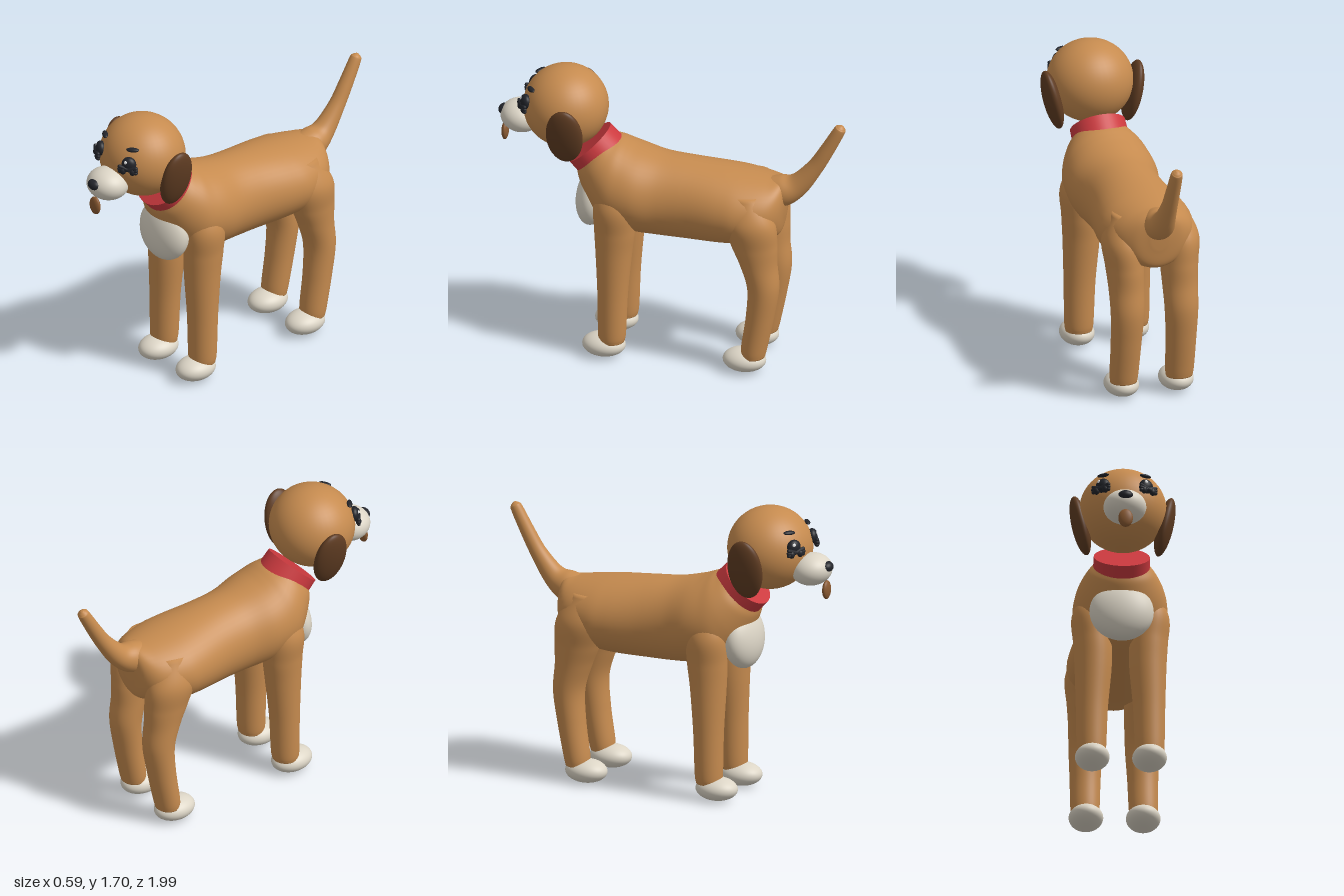
import * as THREE from 'three';

const mat = (name, color) => Object.assign(new THREE.MeshStandardMaterial({ color }), { name });

export function createModel() {
  const fur = mat('tan fur', 0xc68b4f);
  const earBrown = mat('dark brown ear', 0x5f3c22);
  const tongueBrown = mat('tongue brown', 0x8a5a32);
  const cream = mat('cream', 0xdcd5c6);
  const red = mat('collar red', 0xcc3a3f);
  const black = mat('soft black', 0x22242a);
  const white = mat('eye glint', 0xf4f4f4);
  const dog = new THREE.Group();
  dog.name = 'dog';

  function add(parent, name, geometry, material, pos = [0, 0, 0], rot = [0, 0, 0], scale = [1, 1, 1]) {
    const m = new THREE.Mesh(geometry, material);
    m.name = name;
    m.position.set(...pos);
    m.rotation.set(...rot);
    m.scale.set(...scale);
    parent.add(m);
    return m;
  }
  const ball = new THREE.SphereGeometry(1, 40, 28);
  const blob = (name, material, pos, radii, rot, parent = dog) => add(parent, name, ball, material, pos, rot, radii);

  // Smooth closed skin through elliptical rings [x, y, z, half width, vy, vz]
  function loft(rings, steps = 60, sides = 36) {
    const centres = new THREE.CatmullRomCurve3(rings.map(r => new THREE.Vector3(r[0], r[1], r[2])), false, 'catmullrom');
    const radii = new THREE.CatmullRomCurve3(rings.map(r => new THREE.Vector3(r[3], r[4], r[5])), false, 'catmullrom');
    const pos = [], idx = [];
    const ring = (c, r, k) => {
      for (let j = 0; j < sides; j++) {
        const a = j / sides * Math.PI * 2, co = Math.cos(a), si = Math.sin(a);
        pos.push(c.x + r.x * co * k, c.y + r.y * si * k, c.z + r.z * si * k);
      }
    };
    ring(centres.getPoint(0), radii.getPoint(0), 0.001);
    for (let i = 0; i <= steps; i++) ring(centres.getPoint(i / steps), radii.getPoint(i / steps), 1);
    ring(centres.getPoint(1), radii.getPoint(1), 0.001);
    for (let i = 0; i < steps + 2; i++) for (let j = 0; j < sides; j++) {
      const a = i * sides + j, b = i * sides + (j + 1) % sides;
      idx.push(a, b, a + sides, b, b + sides, a + sides);
    }
    // Turn the faces outward if the enclosed volume is negative
    let vol = 0;
    const p = k => new THREE.Vector3().fromArray(pos, k * 3);
    for (let i = 0; i < idx.length; i += 3) vol += p(idx[i]).dot(p(idx[i + 1]).cross(p(idx[i + 2])));
    if (vol < 0) idx.reverse();
    const g = new THREE.BufferGeometry();
    g.setAttribute('position', new THREE.Float32BufferAttribute(pos, 3));
    g.setIndex(idx);
    g.computeVertexNormals();
    return g;
  }

  // Body rings: top z, top y, bottom z, bottom y, half width
  const body = [
    [-0.665, 1.08, -0.65, 0.93, 0.05], [-0.64, 1.145, -0.625, 0.82, 0.15], [-0.56, 1.155, -0.56, 0.8, 0.225],
    [-0.42, 1.175, -0.42, 0.76, 0.268], [-0.3, 1.19, -0.3, 0.745, 0.265], [-0.1, 1.21, -0.1, 0.74, 0.238],
    [0.05, 1.225, 0.05, 0.742, 0.238], [0.18, 1.255, 0.2, 0.755, 0.264], [0.24, 1.275, 0.37, 0.79, 0.26],
    [0.28, 1.29, 0.46, 0.9, 0.235], [0.315, 1.3, 0.525, 1.04, 0.19], [0.355, 1.32, 0.54, 1.1, 0.148],
  ].map(([tz, ty, bz, by, w]) => [0, (ty + by) / 2, (tz + bz) / 2, w, (ty - by) / 2, (tz - bz) / 2]);
  add(dog, 'body', loft(body, 80, 48), fur);

  // Tail: z, y, radius, with the rings square to the path
  const tail = [[-0.56, 1.06, 0.09], [-0.65, 1.085, 0.088], [-0.73, 1.135, 0.064], [-0.82, 1.25, 0.047],
    [-0.885, 1.36, 0.041], [-0.955, 1.49, 0.034], [-0.966, 1.512, 0.026], [-0.972, 1.525, 0.008]];
  add(dog, 'tail', loft(tail.map(([z, y, r], i) => {
    const a = tail[Math.max(0, i - 1)], b = tail[Math.min(tail.length - 1, i + 1)];
    const dz = b[0] - a[0], dy = b[1] - a[1], l = Math.hypot(dz, dy);
    return [0, y, z, r, -dz / l * r, dy / l * r];
  })), fur);

  // Legs: y, x, x radius, z, z radius
  const frontLeg = [[1.12, 0.15, 0.05, 0.29, 0.06], [0.96, 0.17, 0.102, 0.295, 0.115], [0.8, 0.157, 0.108, 0.295, 0.115],
    [0.65, 0.153, 0.104, 0.3, 0.103], [0.4, 0.16, 0.09, 0.305, 0.086], [0.16, 0.163, 0.083, 0.308, 0.079], [0.1, 0.163, 0.076, 0.31, 0.073]];
  const rearLeg = [[1.1, 0.15, 0.06, -0.45, 0.08], [0.95, 0.168, 0.108, -0.475, 0.148], [0.8, 0.16, 0.106, -0.505, 0.132],
    [0.68, 0.157, 0.1, -0.53, 0.107], [0.53, 0.158, 0.095, -0.557, 0.09], [0.35, 0.161, 0.087, -0.54, 0.08],
    [0.16, 0.163, 0.082, -0.508, 0.074], [0.1, 0.163, 0.076, -0.5, 0.068]];
  for (const s of [1, -1]) {
    const side = s > 0 ? 'left' : 'right';
    for (const [label, rings, pawZ] of [['Front', frontLeg, 0.355], ['Rear', rearLeg, -0.45]]) {
      add(dog, side + label + 'Leg', loft(rings.map(([y, x, rx, z, rz]) => [s * x, y, z, rx, 0, rz])), fur);
      blob(side + label + 'Paw', cream, [s * 0.16, 0.07, pawZ], [0.097, 0.067, 0.123]);
    }
  }

  // Chest patch and collar
  blob('chestPatch', cream, [0, 0.925, 0.445], [0.18, 0.178, 0.1], [-0.12, 0, 0]);
  add(dog, 'collar', new THREE.CylinderGeometry(0.157, 0.16, 0.105, 48), red, [0, 1.212, 0.437], [0.76, 0, 0]);

  // Head
  const head = new THREE.Group();
  head.name = 'head';
  dog.add(head);
  blob('skull', fur, [0, 1.47, 0.61], [0.245, 0.235, 0.24], [0, 0, 0], head);
  blob('muzzle', cream, [0, 1.375, 0.865], [0.12, 0.092, 0.118], [-0.1, 0, 0], head);
  blob('nose', black, [0, 1.4, 0.962], [0.043, 0.031, 0.034], [0, 0, 0], head);
  blob('tongue', tongueBrown, [0, 1.265, 0.958], [0.041, 0.054, 0.02], [0, 0, 0], head);
  const lash = new THREE.CapsuleGeometry(0.011, 0.1, 4, 10);
  for (const s of [1, -1]) {
    const side = s > 0 ? 'left' : 'right';
    blob(side + 'Ear', earBrown, [s * 0.236, 1.395, 0.565], [0.047, 0.178, 0.105], [0, 0, -s * 0.22], head);
    blob(side + 'Brow', black, [s * 0.118, 1.606, 0.783], [0.037, 0.011, 0.016], [0.3, s * 0.6, -s * 0.12], head);

    // Eye with crossed lashes, turned to follow the skull
    const eye = new THREE.Group();
    eye.name = side + 'Eye';
    eye.position.set(s * 0.118, 1.515, 0.808);
    eye.rotation.y = s * 0.55;
    head.add(eye);
    blob('eyeball', black, [0, 0.012, 0.005], [0.042, 0.043, 0.03], [0, 0, 0], eye);
    blob('glint', white, [-0.012, 0.03, 0.028], [0.011, 0.011, 0.006], [0, 0, 0], eye);
    for (const tilt of [-0.3, 0, 0.3]) add(eye, 'lash', lash, black, [0, -0.012, 0.028], [0, 0, Math.PI / 2 + tilt]);
    for (const x of [-0.028, 0.028]) blob('lashKnot', black, [x, -0.022, 0.028], [0.018, 0.022, 0.016], [0, 0, 0], eye);
  }
  return dog;
}
